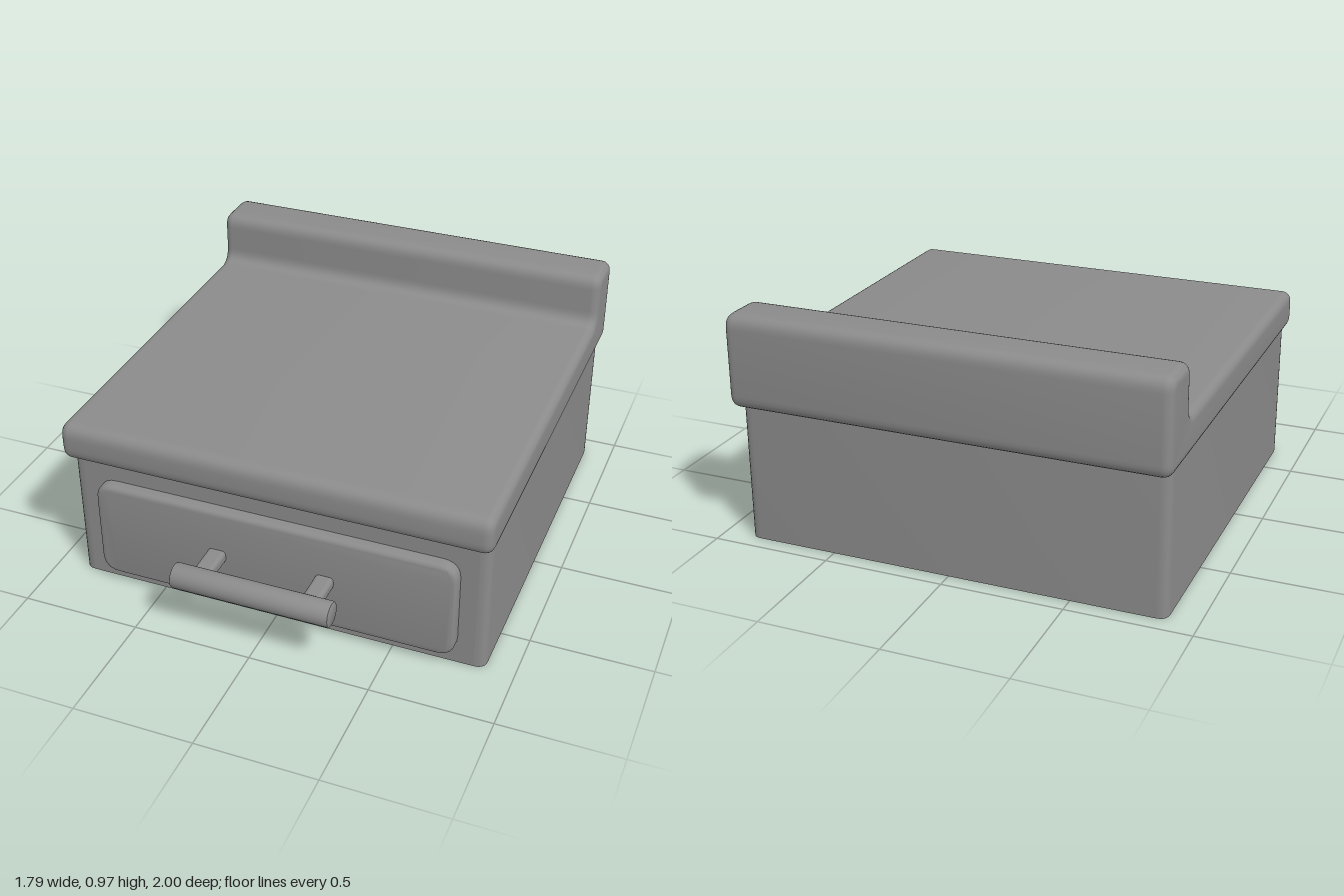
import * as THREE from 'three';
import { toCreasedNormals } from 'three/addons/utils/BufferGeometryUtils.js';
import { RoundedBoxGeometry } from 'three/addons/geometries/RoundedBoxGeometry.js';

const material = new THREE.MeshStandardMaterial({ color: 0x8b8b8b, side: THREE.DoubleSide });

// Outline through [x, y, corner size] points, with every corner rounded off.
function roundedOutline(corners, path = new THREE.Shape()) {
  const n = corners.length;
  const toward = (a, b) => {
    const p = new THREE.Vector2(a[0], a[1]);
    const d = new THREE.Vector2(b[0], b[1]).sub(p).setLength(a[2]);
    return p.add(d);
  };
  corners.forEach((c, i) => {
    const start = toward(c, corners[(i + n - 1) % n]);
    if (i === 0) path.moveTo(start.x, start.y);
    else path.lineTo(start.x, start.y);
    if (c[2] > 0) {
      const end = toward(c, corners[(i + 1) % n]);
      path.quadraticCurveTo(c[0], c[1], end.x, end.y);
    }
  });
  path.closePath();
  return path;
}

const rectCorners = (x0, x1, y0, y1, r) => [[x0, y0, r], [x1, y0, r], [x1, y1, r], [x0, y1, r]];

// Opens up a solid by dropping the triangles whose three corners all pass the test.
function openShell(geometry, test) {
  const pos = geometry.getAttribute('position');
  const kept = [];
  for (let i = 0; i < pos.count; i += 3) {
    const tri = [0, 1, 2].map((k) => new THREE.Vector3().fromBufferAttribute(pos, i + k));
    if (!tri.every(test)) tri.forEach((v) => kept.push(v.x, v.y, v.z));
  }
  const shell = new THREE.BufferGeometry();
  shell.setAttribute('position', new THREE.Float32BufferAttribute(kept, 3));
  return toCreasedNormals(shell, 0.6);
}

function addMesh(parent, name, geometry) {
  const mesh = new THREE.Mesh(geometry, material);
  mesh.name = name;
  parent.add(mesh);
  return mesh;
}

export function createModel() {
  const group = new THREE.Group();
  group.name = 'drawerCabinet';

  const halfX = 0.88, front = 0.725, back = -0.932, ceiling = 0.72, corner = 0.045;
  const near = (a, b) => Math.abs(a - b) < 1e-4;

  // Cabinet walls and ceiling: open below and at the front
  const walls = new THREE.ExtrudeGeometry(
    roundedOutline(rectCorners(-halfX, halfX, -front, -back, corner)),
    { depth: ceiling, bevelEnabled: false, curveSegments: 5 });
  walls.rotateX(-Math.PI / 2);
  const openWalls = openShell(walls, (v) => near(v.y, 0));
  addMesh(group, 'cabinetWalls', openShell(openWalls, (v) => near(v.z, front)));

  // Front wall with the opening behind the drawer face
  const recessOutline = rectCorners(-0.76, 0.76, 0.06, 0.485, 0.073);
  const wallX = halfX - corner;
  const frontShape = roundedOutline(rectCorners(-wallX, wallX, 0, ceiling, 0));
  frontShape.holes.push(roundedOutline(recessOutline, new THREE.Path()));
  addMesh(group, 'frontWall', new THREE.ShapeGeometry(frontShape, 6).translate(0, 0, front));

  // Drawer face: a raised panel with soft edges
  const bevel = 0.022;
  const drawer = new THREE.ExtrudeGeometry(
    roundedOutline(rectCorners(-0.765, 0.765, 0.055, 0.49, 0.075)), {
      depth: 0.05 - bevel, bevelThickness: bevel, bevelSize: bevel, bevelOffset: -bevel,
      bevelSegments: 5, curveSegments: 6,
    });
  drawer.translate(0, 0, front);
  addMesh(group, 'drawerFace', openShell(drawer, (v) => v.z < front + 1e-4));

  // Square-edged recess behind the drawer face
  const recess = new THREE.ExtrudeGeometry(roundedOutline(recessOutline),
    { depth: 0.028, bevelEnabled: false, curveSegments: 6 });
  recess.translate(0, 0, front);
  addMesh(group, 'drawerRecess', openShell(recess, (v) => near(v.z, front)));

  // Worktop with a raised back: side profile swept across, open below inside the cabinet
  const r = 0.058, edge = 0.038, bottom = 0.584, halfTop = 0.895;
  const profile = roundedOutline([
    [-0.79, bottom, r], [-front, bottom, 0], [-back, bottom, 0], [1, bottom, r],
    [1, 0.97, r], [0.776, 0.97, r], [0.776, 0.747, 0.06], [-0.79, 0.747, r],
  ]);
  const worktop = new THREE.ExtrudeGeometry(profile, {
    depth: 2 * (halfTop - edge), bevelThickness: edge, bevelSize: edge, bevelOffset: -edge,
    bevelSegments: 6, curveSegments: 6,
  });
  worktop.translate(0, 0, -(halfTop - edge)).rotateY(Math.PI / 2);
  addMesh(group, 'worktop', openShell(worktop, (v) =>
    near(v.y, bottom) && v.z < front + 1e-4 && v.z > back - 1e-4));

  // Handle: a round bar on two short posts
  const handle = new THREE.Group();
  handle.name = 'handle';
  handle.position.set(0, 0.28, 0.948);
  group.add(handle);
  const barProfile = [[0, -0.333], [0.044, -0.333], [0.05, -0.33], [0.052, -0.323],
    [0.052, 0.323], [0.05, 0.33], [0.044, 0.333], [0, 0.333]].map(([x, y]) => new THREE.Vector2(x, y));
  const bar = new THREE.LatheGeometry(barProfile, 32).rotateZ(Math.PI / 2);
  addMesh(handle, 'handleBar', toCreasedNormals(bar, 0.6));
  for (const side of [-1, 1]) {
    const post = addMesh(handle, 'handlePost', new RoundedBoxGeometry(0.077, 0.054, 0.19, 4, 0.018));
    post.position.set(side * 0.23, 0, -0.093);
  }

  return group;
}
